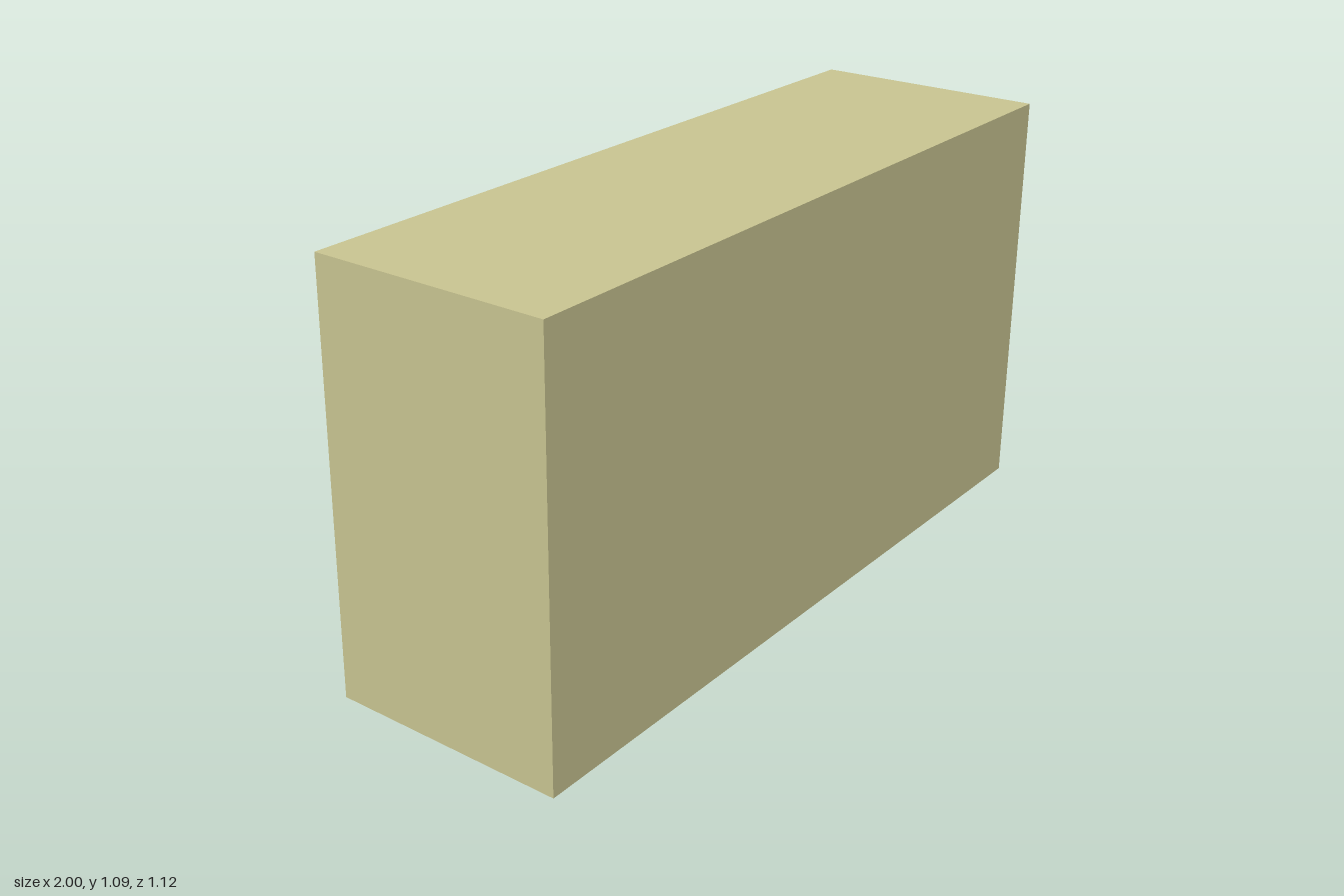
import * as THREE from 'three';

export function createModel() {
  const group = new THREE.Group();
  const material = (color) => new THREE.MeshStandardMaterial({ color });
  const wall = material(0xcbc793);
  const brick = material(0xcc7b59);
  const slate = material(0x141414);
  const door = material(0x4f4b28);

  const add = (name, geometry, mat, x, y, z) => {
    const mesh = new THREE.Mesh(geometry, mat);
    mesh.name = name;
    mesh.position.set(x, y, z);
    group.add(mesh);
    return mesh;
  };
  // Box given by its minimum and maximum corners
  const block = (name, mat, [x0, y0, z0], [x1, y1, z1]) =>
    add(name, new THREE.BoxGeometry(x1 - x0, y1 - y0, z1 - z0), mat,
      (x0 + x1) / 2, (y0 + y1) / 2, (z0 + z1) / 2);

  // Main building
  block('building', wall, [-1, 0.002, -0.065], [1, 1.087, 0.56]);

  // Two entrance steps that run in under the building
  block('lowerStep', brick, [-0.33, 0, -0.447], [0.295, 0.064, 0.235]);
  block('upperStep', brick, [-0.33, 0.064, -0.39], [0.295, 0.128, 0.235]);

  // Double door with a narrow gap between its leaves
  block('rightDoor', door, [-0.252, 0.128, -0.068], [-0.057, 0.455, -0.05]);
  block('leftDoor', door, [-0.053, 0.128, -0.068], [0.142, 0.455, -0.05]);

  // Porch columns, their tops buried in the sloping roof
  for (const [name, x] of [['rightColumn', -0.425], ['leftColumn', 0.405]]) {
    add(name, new THREE.CylinderGeometry(0.0625, 0.0625, 0.575, 32), brick, x, 0.2925, -0.392);
  }

  // Sloping porch roof, its upper end set into the wall
  const roof = add('porchRoof', new THREE.BoxGeometry(1.105, 0.1225, 0.68), slate, -0.0125, 0.684, -0.224);
  roof.rotation.x = THREE.MathUtils.degToRad(-26);

  return group;
}
